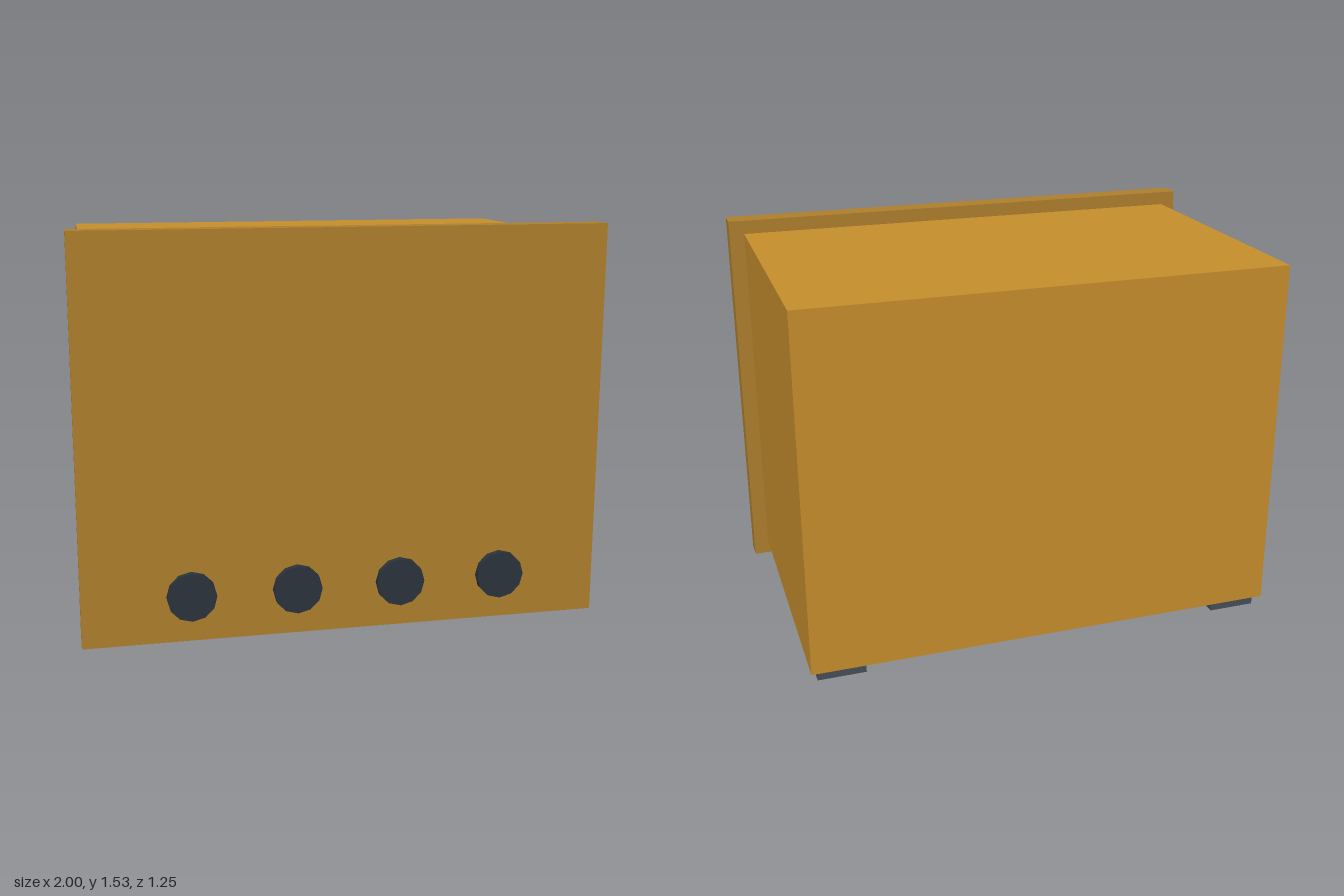
import * as THREE from 'three';

const paint = (color) => new THREE.MeshStandardMaterial({ color });

export function createModel() {
  const model = new THREE.Group();
  model.name = 'cabinet';

  const bodyPaint = paint(0xc9902d);
  const panelPaint = paint(0xb0812d);
  const knobPaint = paint(0x2b343d);
  const footPaint = paint(0x47505a);

  // Box given by its lower and upper limits on each axis
  function addBox(name, material, [x0, x1], [y0, y1], [z0, z1]) {
    const mesh = new THREE.Mesh(new THREE.BoxGeometry(x1 - x0, y1 - y0, z1 - z0), material);
    mesh.position.set((x0 + x1) / 2, (y0 + y1) / 2, (z0 + z1) / 2);
    mesh.name = name;
    model.add(mesh);
  }

  // Main case and the larger front panel
  addBox('body', bodyPaint, [-0.94, 0.94], [0.06, 1.475], [-0.625, 0.51]);
  addBox('frontPanel', panelPaint, [-1, 1], [0, 1.53], [0.51, 0.6]);

  // Row of four shallow twelve-sided knobs
  const knobGeometry = new THREE.CylinderGeometry(0.0935, 0.0935, 0.025, 12).rotateX(Math.PI / 2);
  for (let i = 0; i < 4; i++) {
    const knob = new THREE.Mesh(knobGeometry, knobPaint);
    knob.position.set(-0.592 + 0.4 * i, 0.178, 0.6125);
    knob.name = `knob${i + 1}`;
    model.add(knob);
  }

  // Four square feet; the front pair tucks in behind the panel
  for (const [side, x] of [['Left', 0.82], ['Right', -0.82]]) {
    for (const [end, z] of [['front', 0.438], ['back', -0.505]]) {
      addBox(`${end}${side}Foot`, footPaint, [x - 0.094, x + 0.094], [0.015, 0.06], [z - 0.094, z + 0.094]);
    }
  }

  return model;
}
